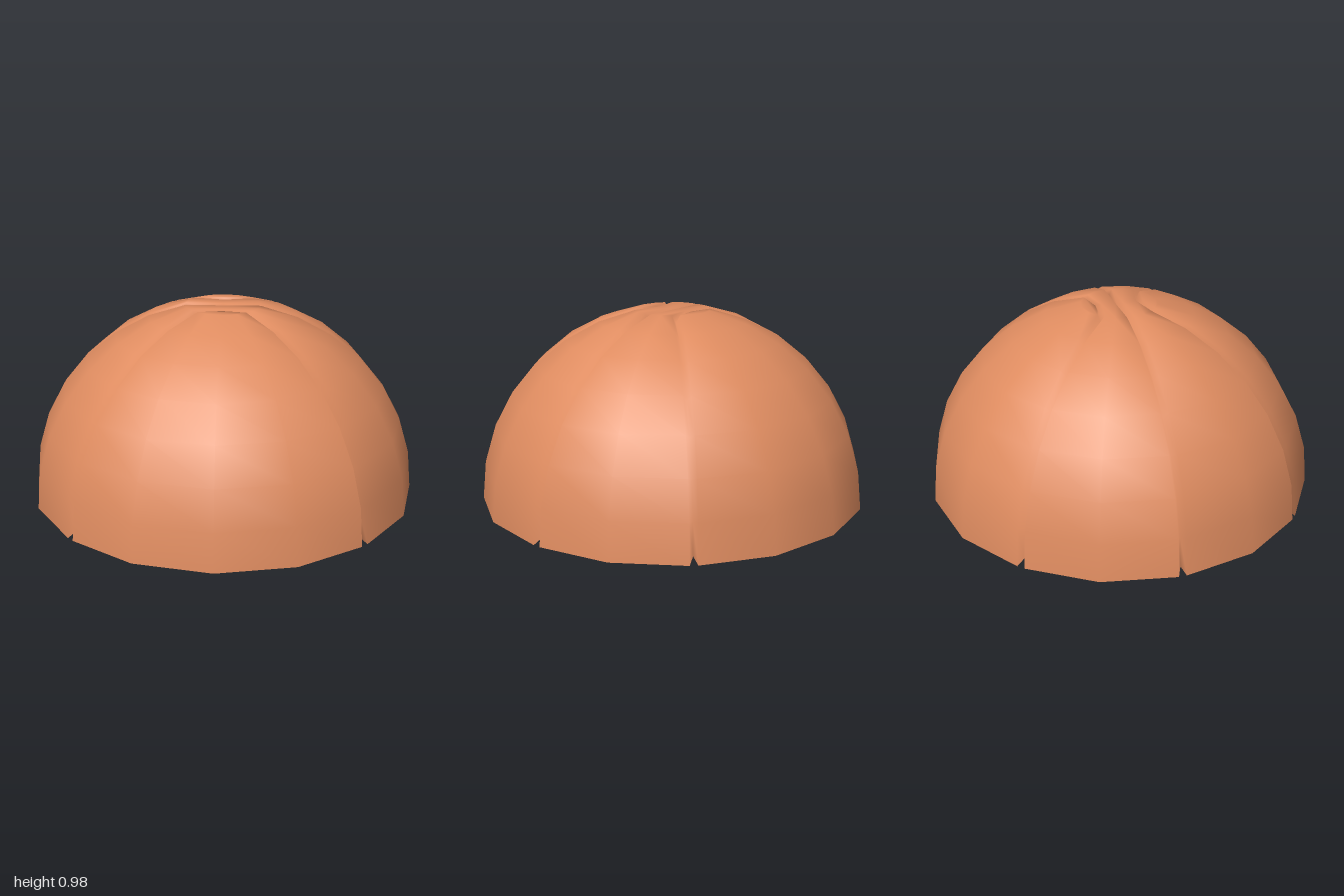
import * as THREE from 'three';
import { mergeVertices } from 'three/addons/utils/BufferGeometryUtils.js';

const SIDES = 16;
const RINGS = 8;
const HALF_WIDTH = 0.02; // half the width of a seam
const DEPTH = 0.04; // how far a seam sinks in
const SEAMS = [1, 3, 7, 9, 11, 15];

// One horizontal ring; each seam splits its corner into before / sunk / after.
function makeRing(k) {
  const phi = (k * Math.PI) / 2 / RINGS;
  const corner = (j) => {
    const t = (j * 2 * Math.PI) / SIDES;
    return new THREE.Vector3(Math.cos(phi) * Math.cos(t), Math.sin(phi), Math.cos(phi) * Math.sin(t));
  };
  const toward = (a, b) => a.clone().add(b.clone().sub(a).setLength(HALF_WIDTH));
  const points = [];
  const at = {};
  for (let j = 0; j < SIDES; j++) {
    const p = corner(j);
    if (SEAMS.includes(j)) {
      const sunk = p.clone().multiplyScalar(1 - DEPTH);
      if (k === 0) sunk.y = 0.03;
      at[j] = { before: toward(p, corner(j - 1)), sunk, after: toward(p, corner(j + 1)) };
      points.push(at[j].before, at[j].sunk, at[j].after);
    } else {
      at[j] = p;
      points.push(p);
    }
  }
  return { points, at };
}

function makeShell() {
  const positions = [];

  // Adds a triangle, turned to face outward.
  const tri = (a, b, c) => {
    const normal = b.clone().sub(a).cross(c.clone().sub(a));
    const middle = a.clone().add(b).add(c);
    const order = normal.dot(middle) > 0 ? [a, b, c] : [a, c, b];
    order.forEach((p) => positions.push(p.x, p.y, p.z));
  };
  const quad = (a, b, c, d) => {
    tri(a, b, c);
    tri(a, c, d);
  };
  const strip = (rowA, rowB) => {
    for (let i = 0; i < rowA.length - 1; i++) quad(rowA[i], rowA[i + 1], rowB[i + 1], rowB[i]);
  };
  const flat = (points) => {
    const outline = points.map((p) => new THREE.Vector2(p.x, p.z));
    THREE.ShapeUtils.triangulateShape(outline, []).forEach(([a, b, c]) => tri(points[a], points[b], points[c]));
  };

  // Curved wall with meridian seams
  const rings = Array.from({ length: RINGS }, (_, k) => makeRing(k));
  for (let k = 0; k < RINGS - 1; k++) {
    const low = rings[k].points;
    const high = rings[k + 1].points;
    strip([...low, low[0]], [...high, high[0]]);
  }

  // Flat crown, in two halves that are half a turn apart
  const top = rings[RINGS - 1].at;
  const y = Math.sin(((RINGS - 1) * Math.PI) / 2 / RINGS);
  const hub = new THREE.Vector3(0, y - DEPTH, 0);
  [0, 8].forEach((turn) => {
    const at = (j) => top[(j + turn) % SIDES];
    const angle = ((13 + turn) * 2 * Math.PI) / SIDES;
    const out = (r, drop = 0) => new THREE.Vector3(r * Math.cos(angle), y - drop, r * Math.sin(angle));
    const edge = out(HALF_WIDTH);
    const inner = out(0.09);
    const outer = out(0.125);
    const sunk = out(0.107, DEPTH);

    // quarter panel tip and the band beside it
    flat([at(11).after, at(12), at(13), at(14), at(15).before, outer]);
    flat([at(9).after, at(10), at(11).before, inner, at(15).after, at(0), at(1).before, edge]);

    // bent seam around the panel tip
    const bottom = [at(11).sunk, sunk, at(15).sunk];
    strip([at(11).before, inner, at(15).after], bottom);
    strip([at(11).after, outer, at(15).before], bottom);

    // one wall of the straight seam over the middle
    strip([at(9).after, edge, at(1).before], [at(9).sunk, hub, at(1).sunk]);
  });

  const soup = new THREE.BufferGeometry();
  soup.setAttribute('position', new THREE.Float32BufferAttribute(positions, 3));
  const shell = mergeVertices(soup, 1e-5);
  shell.computeVertexNormals();
  return shell;
}

export function createModel() {
  const terracotta = new THREE.MeshStandardMaterial({ color: 0xdf8c60, side: THREE.DoubleSide });
  terracotta.name = 'terracotta';

  const dome = new THREE.Mesh(makeShell(), terracotta);
  dome.name = 'seamedDomeShell';

  const model = new THREE.Group();
  model.name = 'halfBallDome';
  model.add(dome);
  return model;
}
